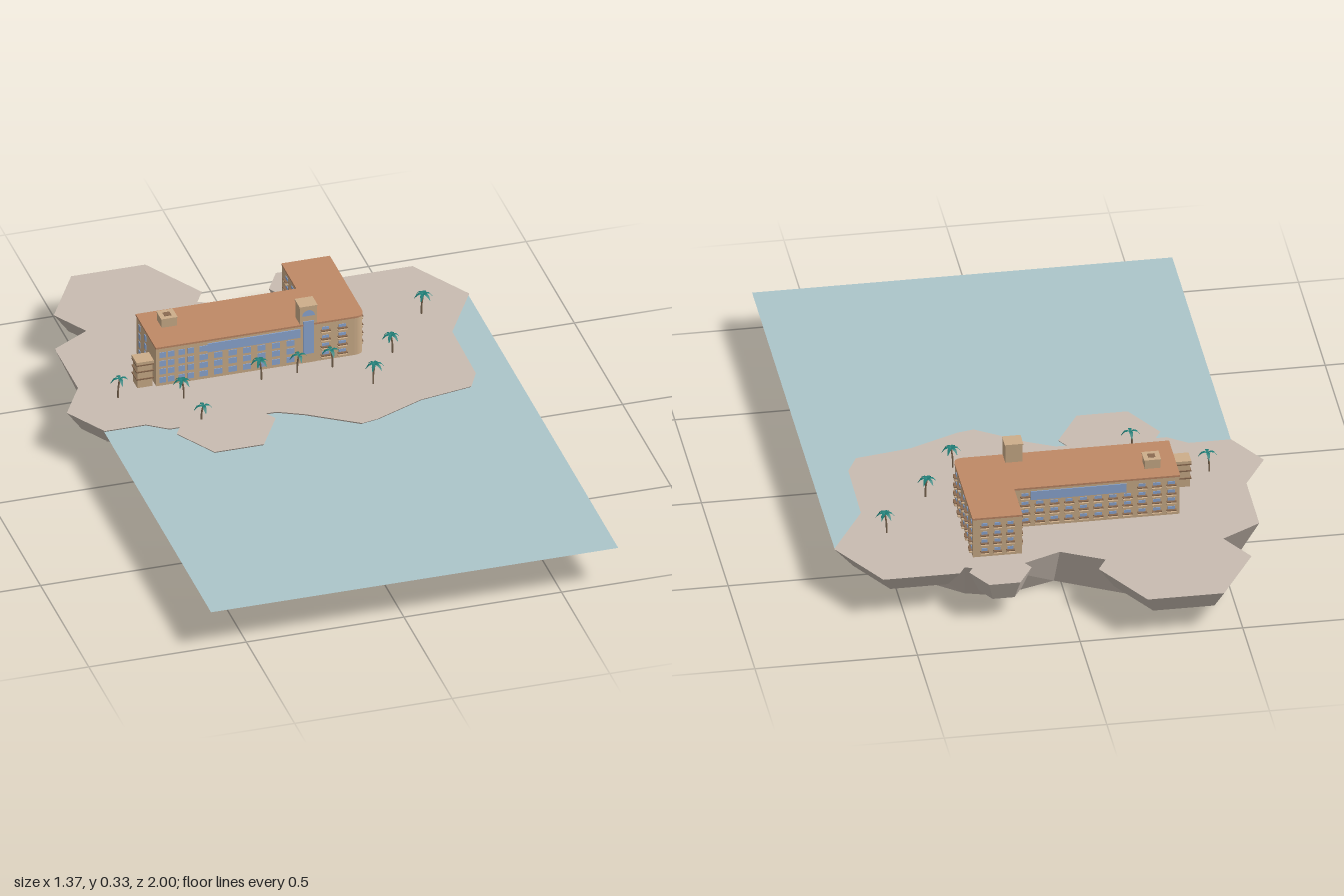
import * as THREE from 'three';

const mat = (name, color, side = THREE.FrontSide) => {
  const m = new THREE.MeshStandardMaterial({ color, side });
  m.name = name;
  return m;
};

export function createModel() {
  const rock = mat('rock', 0xc8bcb1);
  const water = mat('water', 0xabc5ca, THREE.DoubleSide);
  const wall = mat('sandWall', 0xcdae8a);
  const roofTile = mat('terracotta', 0xbf8966);
  const glass = mat('blueGlass', 0x8ea9d4);
  const trim = mat('brownTrim', 0x8a6a50);
  const bark = mat('bark', 0x7d6852);
  const leaf = mat('palmLeaf', 0x1f7f78, THREE.DoubleSide);

  const model = new THREE.Group();
  const add = (parent, name, geo, material, x = 0, y = 0, z = 0) => {
    const mesh = new THREE.Mesh(geo, material);
    mesh.name = name;
    mesh.position.set(x, y, z);
    parent.add(mesh);
    return mesh;
  };
  const box = (parent, name, w, h, d, material, x, y, z) =>
    add(parent, name, new THREE.BoxGeometry(w, h, d), material, x, y, z);
  const group = (name) => {
    const g = new THREE.Group();
    g.name = name;
    model.add(g);
    return g;
  };

  const TOP = 0.13;

  // Main island: top outline (x, z) paired with a tapered base outline (x, z)
  const island = group('island');
  const rim = [
    [-0.615, -0.61, -0.56, -0.56], [-0.615, -0.2, -0.56, -0.25], [-0.42, -0.06, -0.4, -0.15],
    [-0.08, -0.06, -0.06, -0.12], [0, -0.02, 0.02, -0.08], [0.15, 0.08, 0.08, -0.03],
    [0.2, 0.07, 0.2, -0.06], [0.36, 0, 0.42, -0.12], [0.53, -0.03, 0.5, -0.14],
    [0.565, -0.1, 0.52, -0.19], [0.57, -0.5, 0.52, -0.48], [0.31, -0.725, 0.3, -0.66],
    [0.2, -0.76, 0.2, -0.69], [0.01, -0.68, 0.02, -0.63], [-0.2, -0.79, -0.2, -0.75],
    [-0.38, -0.75, -0.38, -0.71],
  ];
  const rimShape = new THREE.Shape(rim.map(([x, z]) => new THREE.Vector2(x, -z)));
  const land = new THREE.ExtrudeGeometry(rimShape, { depth: TOP, bevelEnabled: false });
  const pos = land.attributes.position;
  for (let i = 0; i < pos.count; i++) {
    if (pos.getZ(i) > 0.01) continue;
    const p = rim.find(([x, z]) => Math.hypot(x - pos.getX(i), z + pos.getY(i)) < 1e-4);
    if (p) pos.setXY(i, p[2], -p[3]);
  }
  land.rotateX(-Math.PI / 2);
  land.computeVertexNormals();
  add(island, 'mainRock', land, rock);

  // Six-sided rock outcrops: x, z, radius, taper
  for (const [x, z, r, k] of [
    [-0.325, -0.8, 0.235, 0.8], [0.447, -0.553, 0.236, 0.75], [0.205, -0.757, 0.096, 0.7],
    [-0.25, -0.025, 0.157, 0.7], [-0.533, -0.24, 0.157, 0.7],
  ]) {
    const h = 0.065;
    const geo = new THREE.CylinderGeometry(r, r * k, h, 6).toNonIndexed();
    geo.rotateY(Math.PI / 2);
    geo.computeVertexNormals();
    add(island, 'outcrop', geo, rock, x, TOP - h / 2, z);
  }

  // Sea sheet
  const sea = new THREE.PlaneGeometry(1.292, 1.55);
  sea.rotateX(-Math.PI / 2);
  add(model, 'sea', sea, water, 0.034, 0.125, 0.225);

  // L-shaped block with one rounded corner
  const hotel = group('building');
  const plan = (o) => {
    const s = new THREE.Shape();
    const r = 0.03;
    s.moveTo(-0.385 - o, 0.31 - o);
    s.lineTo(0.275 + o - r, 0.31 - o);
    s.quadraticCurveTo(0.275 + o, 0.31 - o, 0.275 + o, 0.31 - o + r);
    s.lineTo(0.275 + o, 0.67 + o);
    s.lineTo(0.125 - o, 0.67 + o);
    s.lineTo(0.125 - o, 0.515 + o);
    s.lineTo(-0.385 - o, 0.515 + o);
    s.closePath();
    return s;
  };
  const slab = (name, o, y, h, material) => {
    const g = new THREE.ExtrudeGeometry(plan(o), { depth: h, bevelEnabled: false, curveSegments: 6 });
    g.rotateX(-Math.PI / 2);
    add(hotel, name, g, material, 0, y, 0);
  };
  slab('walls', 0, TOP - 0.005, 0.136, wall);
  slab('roof', 0.002, 0.261, 0.006, roofTile);

  // Windows and balconies; facing is 'z' or 'x', dir is the outward sign
  const floors = [0.15, 0.18, 0.208, 0.238];
  const pane = (facing, dir, along, y, face, w, h, balcony) => {
    const put = (name, ww, hh, t, m, yy) => facing === 'z'
      ? box(hotel, name, ww, hh, t, m, along, yy, face + dir * t / 2)
      : box(hotel, name, t, hh, ww, m, face + dir * t / 2, yy, along);
    put('window', w, h, 0.002, glass, y);
    if (balcony) {
      put('balcony', w + 0.008, 0.004, 0.009, wall, y - h / 2);
      put('balconyRail', w + 0.008, 0.003, 0.01, trim, y - h / 2 + 0.008);
    }
  };
  const facade = (facing, dir, face, columns, w, balcony, skip = () => false) => {
    for (const c of columns) for (const y of floors) {
      if (!skip(c, y)) pane(facing, dir, c, y, face, w, 0.019, balcony);
    }
  };
  const underBand = (c, y) => y > 0.23 && c > -0.23 && c < 0.08;
  const range = (n, a, step) => Array.from({ length: n }, (_, i) => a + i * step);
  facade('z', 1, -0.31, [-0.365, -0.338, -0.305, -0.275], 0.02, false);
  facade('z', 1, -0.31, range(7, -0.235, 0.046), 0.026, false, underBand);
  facade('z', 1, -0.31, [0.152, 0.205], 0.022, true);
  facade('z', -1, -0.515, range(11, -0.36, 0.045), 0.022, true, underBand);
  facade('z', -1, -0.67, [0.16, 0.2, 0.24], 0.018, true);
  facade('x', 1, 0.275, [-0.365, -0.43, -0.5, -0.57, -0.645], 0.018, true);
  facade('x', -1, 0.125, [-0.56, -0.62], 0.02, true);
  facade('x', -1, -0.385, [-0.42, -0.48], 0.016, false);
  // Long glazed galleries under the roof
  for (const [z, s] of [[-0.31, 1], [-0.515, -1]]) {
    box(hotel, 'gallery', 0.295, 0.03, 0.004, glass, -0.075, 0.238, z + s * 0.001);
  }

  // Stair tower with glazed front and arched top light
  box(hotel, 'tower', 0.053, 0.2, 0.05, wall, 0.098, TOP + 0.097, -0.334);
  box(hotel, 'towerCap', 0.057, 0.004, 0.054, wall, 0.098, 0.328, -0.334);
  box(hotel, 'towerGlass', 0.034, 0.115, 0.004, glass, 0.098, 0.22, -0.308);
  const arch = new THREE.CircleGeometry(0.02, 12, 0, Math.PI);
  add(hotel, 'towerArch', arch, glass, 0.098, 0.295, -0.3085);

  // Rooftop plant room
  box(hotel, 'roofRoom', 0.048, 0.032, 0.048, wall, -0.311, 0.281, -0.44);
  box(hotel, 'roofRoomCap', 0.052, 0.004, 0.052, wall, -0.311, 0.296, -0.44);
  box(hotel, 'roofRoomHatch', 0.022, 0.002, 0.022, trim, -0.311, 0.298, -0.44);

  // Small turret at the west end with banded ledges
  box(hotel, 'turret', 0.048, 0.09, 0.044, wall, -0.419, TOP + 0.043, -0.338);
  for (const y of [0.16, 0.186, 0.209]) {
    box(hotel, 'turretLedge', 0.055, 0.004, 0.05, trim, -0.419, y, -0.338);
  }
  box(hotel, 'turretCap', 0.055, 0.009, 0.052, wall, -0.419, 0.217, -0.338);

  // Palms: x, z, height, frond count
  const frond = (len) => {
    const v = [];
    const idx = [];
    const widths = [0.002, 0.0055, 0.005, 0.001];
    widths.forEach((w, i) => {
      const t = i / 3;
      const y = 0.01 * Math.sin(t * 2.2) - 0.018 * t * t;
      v.push(t * len, y, -w, t * len, y, w);
      if (i) idx.push(2 * i - 2, 2 * i - 1, 2 * i, 2 * i - 1, 2 * i + 1, 2 * i);
    });
    const g = new THREE.BufferGeometry();
    g.setAttribute('position', new THREE.Float32BufferAttribute(v, 3));
    g.setIndex(idx);
    g.computeVertexNormals();
    return g;
  };
  const frondGeo = frond(0.029);
  [
    [-0.51, -0.28, 0.065, 4], [-0.33, -0.22, 0.062, 6], [-0.305, -0.085, 0.045, 4],
    [-0.073, -0.255, 0.067, 6], [0.053, -0.262, 0.06, 4], [0.155, -0.262, 0.06, 4],
    [0.254, -0.132, 0.067, 6], [0.354, -0.29, 0.061, 6], [0.515, -0.483, 0.067, 6],
  ].forEach(([x, z, h, n], i) => {
    const palm = group('palm');
    palm.position.set(x, TOP, z);
    const lean = 0.005 * (i % 2 ? 1 : -1);
    const path = new THREE.CatmullRomCurve3([
      new THREE.Vector3(lean, -0.003, 0), new THREE.Vector3(lean * 0.9, h * 0.5, 0), new THREE.Vector3(0, h, 0),
    ]);
    add(palm, 'trunk', new THREE.TubeGeometry(path, 5, 0.0028, 6), bark);
    for (let k = 0; k < n; k++) {
      add(palm, 'frond', frondGeo, leaf, 0, h, 0).rotation.y = (k / n) * Math.PI * 2;
    }
  });

  return model;
}
